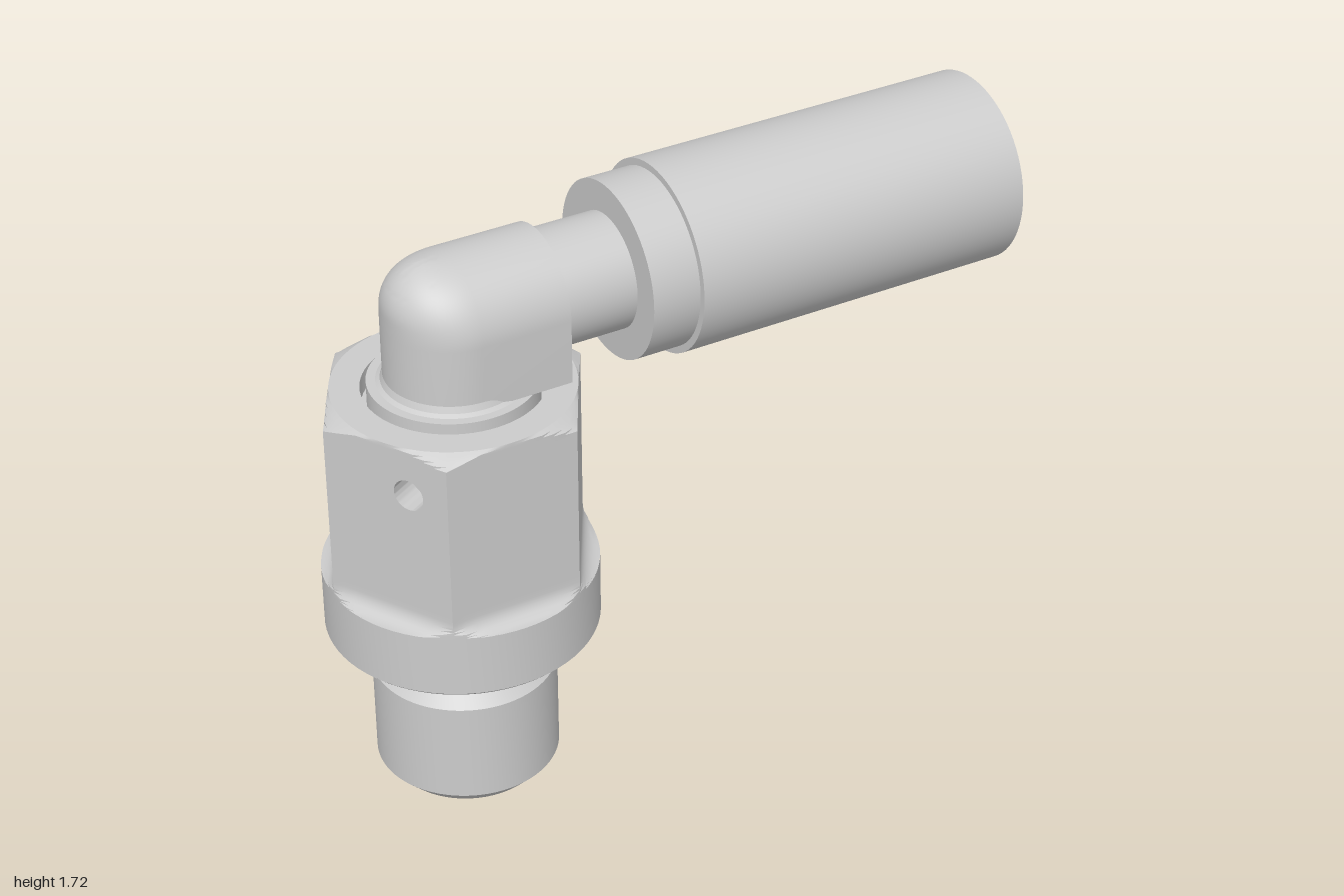
import * as THREE from 'three';
import { toCreasedNormals } from 'three/addons/utils/BufferGeometryUtils.js';

const AXIS_X = -0.62;   // vertical axis of the screw-in body
const PIPE_Y = 1.447;   // height of the horizontal axis
const HEX_A = 0.329;    // hexagon apothem
const COLLAR_R = 0.38;
const SEG = 72;

const material = new THREE.MeshStandardMaterial({ color: 0xcccccc });

function addMesh(parent, name, geometry, crease = 0.5) {
  const mesh = new THREE.Mesh(toCreasedNormals(geometry, crease), material);
  mesh.name = name;
  parent.add(mesh);
  return mesh;
}

function lathe(points) {
  return new THREE.LatheGeometry(points.map(([r, y]) => new THREE.Vector2(r, y)), SEG);
}

// Skin closed rows of points, each counter-clockwise from above, bottom row first.
function loft(rows, skip = () => false) {
  const n = rows[0].length, index = [];
  for (let i = 0; i < rows.length - 1; i++) {
    for (let j = 0; j < n; j++) {
      if (skip(i, j)) continue;
      const k = (j + 1) % n;
      const a = i * n + j, b = i * n + k, c = a + n, d = b + n;
      index.push(a, b, d, a, d, c);
    }
  }
  const g = new THREE.BufferGeometry();
  g.setAttribute('position', new THREE.Float32BufferAttribute(rows.flat(2), 3));
  g.setIndex(index);
  return g;
}

// One row around the vertical axis with radius given per angle
function ringRow(y, radius) {
  return Array.from({ length: SEG }, (_, j) => {
    const t = (j / SEG) * Math.PI * 2, r = radius(t);
    return [r * Math.cos(t), y, -r * Math.sin(t)];
  });
}

// Hexagon with corners on the x axis, limited by a round of radius limit
function hexRow(y, apothem, limit) {
  const sixth = Math.PI / 3;
  return ringRow(y, t => Math.min(limit, apothem / Math.cos((t % sixth) - sixth / 2)));
}

function hexBarrel() {
  const rows = [], fillet = 0.05;
  // Concave fillet running from the collar into the flats
  for (let i = 0; i <= 8; i++) {
    const s = Math.sin((1 - i / 8) * Math.PI / 2);
    rows.push(hexRow(0.73 - fillet * s, HEX_A + fillet * (1 - Math.sqrt(1 - s * s)), COLLAR_R));
  }
  rows.push(hexRow(0.75, HEX_A, COLLAR_R));
  const panelRow = rows.length - 1;
  rows.push(hexRow(1.2, HEX_A, COLLAR_R));
  // Conical chamfer on the top corners
  for (let i = 0; i <= 4; i++) {
    rows.push(hexRow(1.212 + 0.007 * i, HEX_A, COLLAR_R - 0.0128 * i));
  }
  // Top face and the groove around the swivel ring
  for (const [r, y] of [[0.247, 1.24], [0.247, 1.18], [0.2, 1.18]]) rows.push(ringRow(y, () => r));
  // The drilled flat is left out and closed by its own panel
  return loft(rows, (i, j) => i === panelRow && j >= SEG / 2 && j < SEG * 2 / 3);
}

// Flat of the hexagon with a drilled hole, facing +z before it is turned
function drilledFlat() {
  const group = new THREE.Group();
  group.name = 'drilledFlat';
  const h = HEX_A * Math.tan(Math.PI / 6), hx = 0.07, hy = 1.1, r = 0.045, depth = 0.08;
  const shape = new THREE.Shape([[-h, 0.75], [h, 0.75], [h, 1.2], [-h, 1.2]].map(p => new THREE.Vector2(...p)));
  shape.holes.push(new THREE.Path().absarc(hx, hy, r, 0, Math.PI * 2, true));
  addMesh(group, 'flatPanel', new THREE.ShapeGeometry(shape, 24)).position.z = HEX_A;
  const hole = addMesh(group, 'drilledHole', lathe([[0, -depth], [r, -depth], [r, 0]].reverse()));
  hole.rotation.x = Math.PI / 2;
  hole.position.set(hx, hy, HEX_A);
  group.rotation.y = -Math.PI / 3;
  return group;
}

// Elbow: arched section along x, rounded at the back, flat at the outlet
function elbow() {
  const R = 0.186, bend = 0.135, outlet = 0.255, bottom = 1.262, arc = 32;
  const row = (y, w, back) => {
    const pts = [[outlet, y, -w]];
    for (let j = 0; j <= arc; j++) {
      const t = Math.PI / 2 + (j / arc) * Math.PI;
      pts.push([back * Math.cos(t), y, -w * Math.sin(t)]);
    }
    pts.push([outlet, y, w]);
    return pts;
  };
  const rows = [row(bottom, 0, 0), row(bottom, R, R)];
  for (let i = 0; i <= 24; i++) {
    const a = (i / 24) * Math.PI / 2;
    const y = PIPE_Y + R * Math.sin(a);
    const u = Math.min(1, Math.max(0, (y - (PIPE_Y + R - bend)) / bend));
    rows.push(row(y, R * Math.cos(a), R - bend + bend * Math.sqrt(1 - u * u)));
  }
  return loft(rows);
}

export function createModel() {
  const model = new THREE.Group();
  model.name = 'elbowHoseFitting';

  const body = new THREE.Group();
  body.name = 'screwInBody';
  body.position.x = AXIS_X;
  model.add(body);

  // Bored stud, undercut neck and round collar
  addMesh(body, 'studAndCollar', lathe([
    [0, 0.9], [0.1, 0.9], [0.1, 0], [0.215, 0], [0.257, 0.045], [0.257, 0.345],
    [0.215, 0.385], [0.215, 0.45], [0.219, 0.468], [0.228, 0.482], [0.243, 0.49],
    [0.37, 0.49], [COLLAR_R, 0.5], [COLLAR_R, 0.682],
  ]));
  addMesh(body, 'hexBarrel', hexBarrel());
  body.add(drilledFlat());

  // Swivel ring at the foot of the elbow
  addMesh(body, 'swivelRing', lathe([
    [0.23, 1.18], [0.23, 1.26], [0.205, 1.26], [0.193, 1.267], [0.186, 1.285],
  ]));
  addMesh(body, 'elbow', elbow());

  // Pipe, crimp sleeve, hose cavity and inner nipple in one turned profile
  const sleeve = addMesh(model, 'pipeAndCrimpSleeve', lathe([
    [0, -0.37], [0.163, -0.37], [0.163, -0.155], [0.25, -0.155], [0.25, -0.015],
    [0.27, -0.015], [0.27, 1], [0.25, 1], [0.21, 0.65], [0.14, 0.65], [0.14, 0.72],
    [0.11, 0.98], [0.106, 0.99], [0.095, 0.99], [0.09, 0.2], [0, 0.1],
  ]));
  sleeve.rotation.z = -Math.PI / 2;
  sleeve.position.y = PIPE_Y;

  return model;
}
